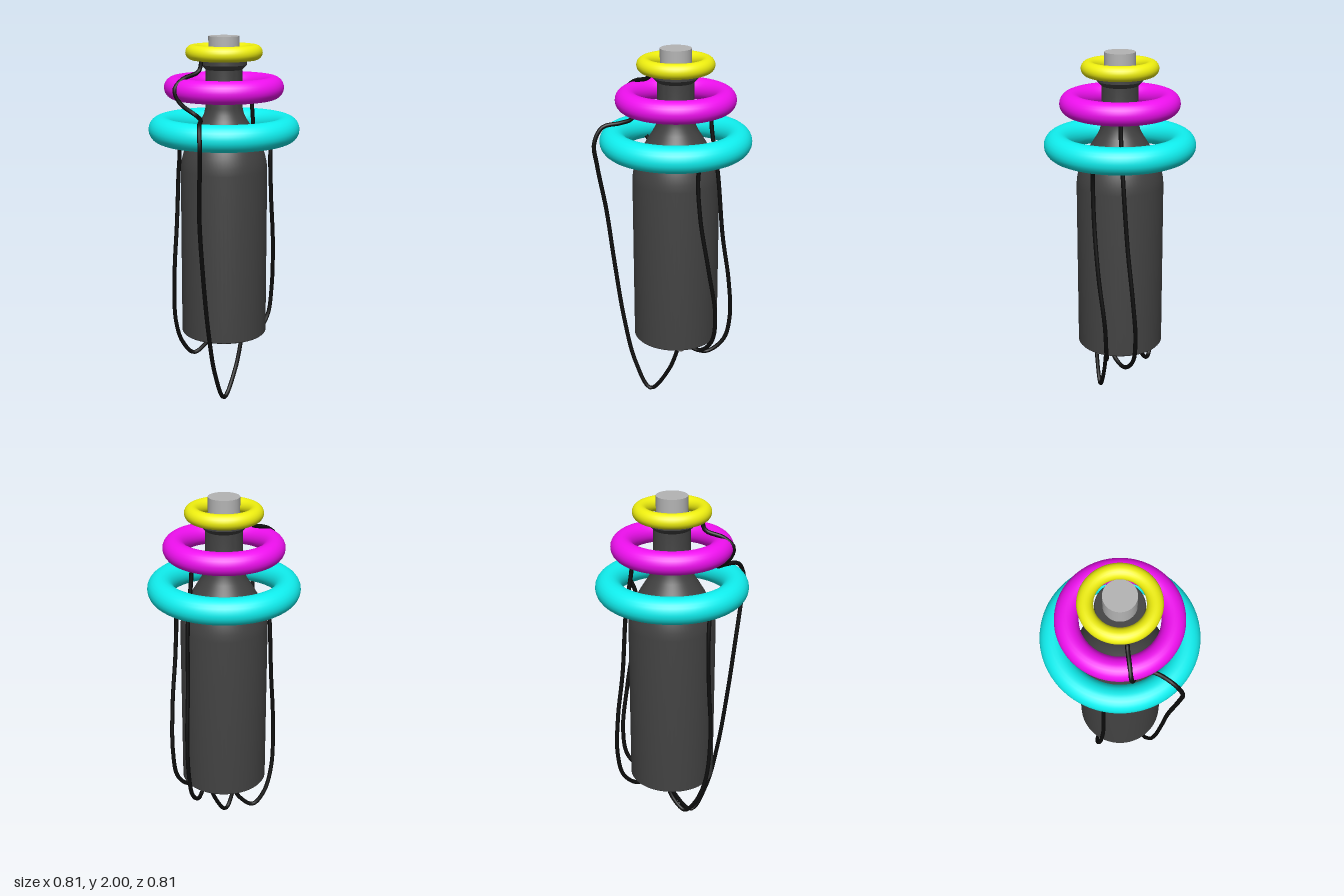
import * as THREE from 'three';
import { toCreasedNormals } from 'three/addons/utils/BufferGeometryUtils.js';

const material = (color) => new THREE.MeshStandardMaterial({ color });

export function createModel() {
  const model = new THREE.Group();
  const dark = material(0x424242);
  const grey = material(0xb4b4b4);
  const black = material(0x0c0c0c);

  function add(name, geometry, mat, x = 0, y = 0, z = 0, parent = model) {
    const mesh = new THREE.Mesh(geometry, mat);
    mesh.name = name;
    mesh.position.set(x, y, z);
    parent.add(mesh);
    return mesh;
  }

  // Bottle housing with a recessed underside, rounded shoulder, neck and collar
  const profile = [
    [0, 0.39], [0.212, 0.39], [0.212, 0.36], [0.23, 0.36], [0.235, 0.366],
    [0.235, 1.29], [0.231, 1.33], [0.22, 1.375], [0.203, 1.42], [0.18, 1.465],
    [0.15, 1.515], [0.122, 1.56], [0.107, 1.59], [0.099, 1.625], [0.098, 1.825],
    [0.116, 1.843], [0.122, 1.85], [0.122, 1.885], [0.117, 1.89], [0, 1.89],
  ].map(([r, y]) => new THREE.Vector2(r, y));
  add('bottleHousing', toCreasedNormals(new THREE.LatheGeometry(profile, 64), 0.55), dark);

  // Top cap
  add('topCap', new THREE.CylinderGeometry(0.083, 0.083, 0.12, 48), grey, 0, 1.94, 0);

  // Three coloured rings around the neck: name, radius, tube, height, colour
  const rings = [
    ['lowerRing', 0.335, 0.071, 1.507, 0x10f0f0],
    ['middleRing', 0.26, 0.06, 1.73, 0xf010f0],
    ['upperRing', 0.165, 0.04, 1.915, 0xf0f010],
  ];
  for (const [name, radius, tube, y, color] of rings) {
    const ring = new THREE.TorusGeometry(radius, tube, 24, 80).rotateX(Math.PI / 2);
    add(name, ring, material(color), 0, y, 0);
  }

  // Cables hanging from the rings and looping up to the board
  const cables = {
    upperRingCable: [
      [0.01, 1.89, 0.155], [0.005, 1.825, 0.17], [0, 1.79, 0.27], [0, 1.74, 0.322],
      [0.015, 1.67, 0.3], [0.07, 1.605, 0.235], [0.14, 1.592, 0.26], [0.215, 1.575, 0.325],
      [0.255, 1.49, 0.352], [0.245, 1.37, 0.345], [0.205, 1.1, 0.32], [0.188, 0.8, 0.288],
      [0.172, 0.45, 0.24], [0.153, 0.18, 0.18], [0.125, 0.014, 0.095],
      [0.092, 0.15, -0.01], [0.07, 0.35, -0.08],
    ],
    lowerRingFrontCable: [
      [-0.085, 1.47, 0.255], [-0.1, 1.41, 0.225], [-0.122, 1.25, 0.218], [-0.13, 1, 0.225],
      [-0.138, 0.7, 0.24], [-0.16, 0.42, 0.22], [-0.17, 0.27, 0.165],
      [-0.153, 0.198, 0.1], [-0.125, 0.25, 0.03], [-0.1, 0.35, -0.02],
    ],
    lowerRingRearCable: [
      [0.12, 1.47, -0.25], [0.125, 1.4, -0.226], [0.12, 1.15, -0.235], [0.095, 0.85, -0.275],
      [0.06, 0.57, -0.3], [0.055, 0.4, -0.275], [0.06, 0.325, -0.2], [0.065, 0.34, -0.11],
    ],
    middleRingCable: [
      [-0.02, 1.71, -0.205], [-0.02, 1.6, -0.212], [-0.035, 1.35, -0.245], [-0.06, 1, -0.265],
      [-0.09, 0.72, -0.292], [-0.105, 0.5, -0.295], [-0.09, 0.35, -0.265],
      [-0.035, 0.274, -0.19], [0.02, 0.3, -0.125], [0.045, 0.345, -0.09],
    ],
  };
  for (const [name, points] of Object.entries(cables)) {
    const path = new THREE.CatmullRomCurve3(points.map((p) => new THREE.Vector3(...p)));
    add(name, new THREE.TubeGeometry(path, 120, 0.0115, 10), black);
  }

  // Circuit board in the underside recess
  const board = new THREE.Group();
  board.name = 'circuitBoard';
  model.add(board);
  add('boardPlate', new THREE.BoxGeometry(0.28, 0.012, 0.28), material(0x2c6b2c), 0, 0.38, 0, board);

  // Cable sockets and chips: x, z, width, depth, lowest point
  const plastic = material(0x9a9a9a);
  const sockets = [
    [0.09, -0.095, 0.065, 0.05, 0.317], [0.04, -0.085, 0.03, 0.05, 0.325],
    [-0.1, -0.01, 0.04, 0.07, 0.33],
  ];
  const chips = [[0, 0.075, 0.06, 0.05, 0.335], [-0.035, -0.02, 0.03, 0.03, 0.33], [0.02, 0.01, 0.035, 0.04, 0.34]];
  const addParts = (name, parts, mat) => parts.forEach(([x, z, w, d, low]) => {
    const h = 0.376 - low;
    add(name, new THREE.BoxGeometry(w, h, d), mat, x, low + h / 2, z, board);
  });
  addParts('cableSocket', sockets, plastic);
  addParts('chip', chips, material(0x303030));

  // Corner screws
  for (const x of [-0.115, 0.115]) for (const z of [-0.115, 0.115]) {
    add('boardScrew', new THREE.CylinderGeometry(0.009, 0.009, 0.008, 16), grey, x, 0.372, z, board);
  }

  return model;
}
